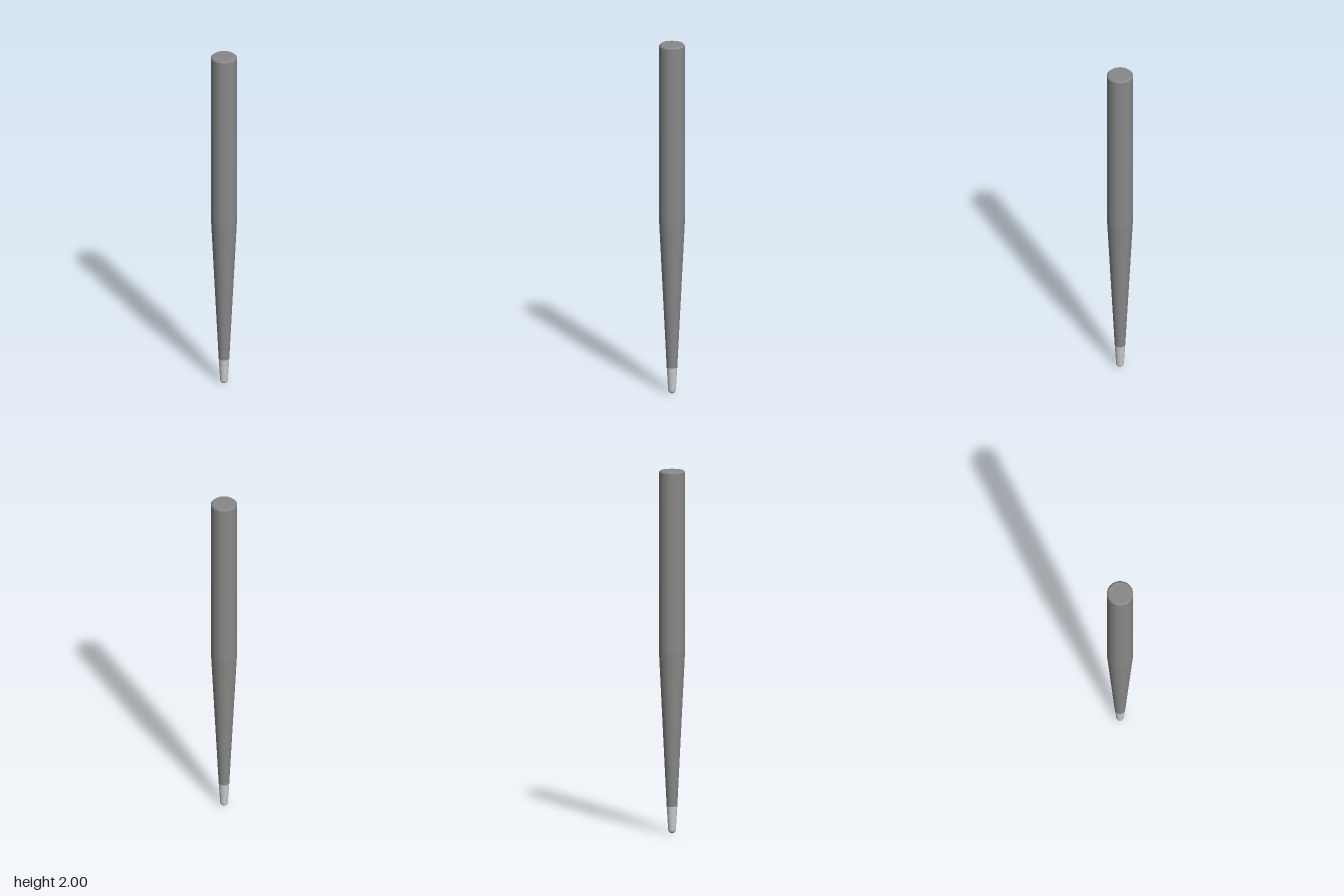
import * as THREE from 'three';

const SIDES = 64;
const bodyMaterial = new THREE.MeshStandardMaterial({ color: 0x888888 });
const tipMaterial = new THREE.MeshStandardMaterial({ color: 0xcccccc });

// Turned section from [radius, height] pairs, listed bottom to top
function turned(name, profile, material) {
  const points = profile.map(([r, y]) => new THREE.Vector2(r, y));
  const mesh = new THREE.Mesh(new THREE.LatheGeometry(points, SIDES), material);
  mesh.name = name;
  return mesh;
}

export function createModel() {
  const model = new THREE.Group();
  model.name = 'stylus';

  const R = 0.071; // barrel radius
  const joint = 0.029; // radius where the tip meets the taper
  const topR = 0.063; // flat top inside the bevel

  // Rounded nib: a quarter arc, then a gentle cone up to the joint
  const nibR = 0.021;
  const nib = [];
  for (let i = 0; i <= 10; i++) {
    const a = (i / 10) * Math.PI / 2;
    nib.push([nibR * Math.sin(a), nibR * (1 - Math.cos(a))]);
  }
  nib.push([joint, 0.15]);
  model.add(turned('tip', nib, tipMaterial));

  // Separate sections keep the edges between them crisp
  model.add(turned('taper', [[joint, 0.15], [R, 1]], bodyMaterial));
  model.add(turned('barrel', [[R, 1], [R, 1.992]], bodyMaterial));
  model.add(turned('topBevel', [[R, 1.992], [topR, 2]], bodyMaterial));
  model.add(turned('topCap', [[topR, 2], [0, 2]], bodyMaterial));

  return model;
}
